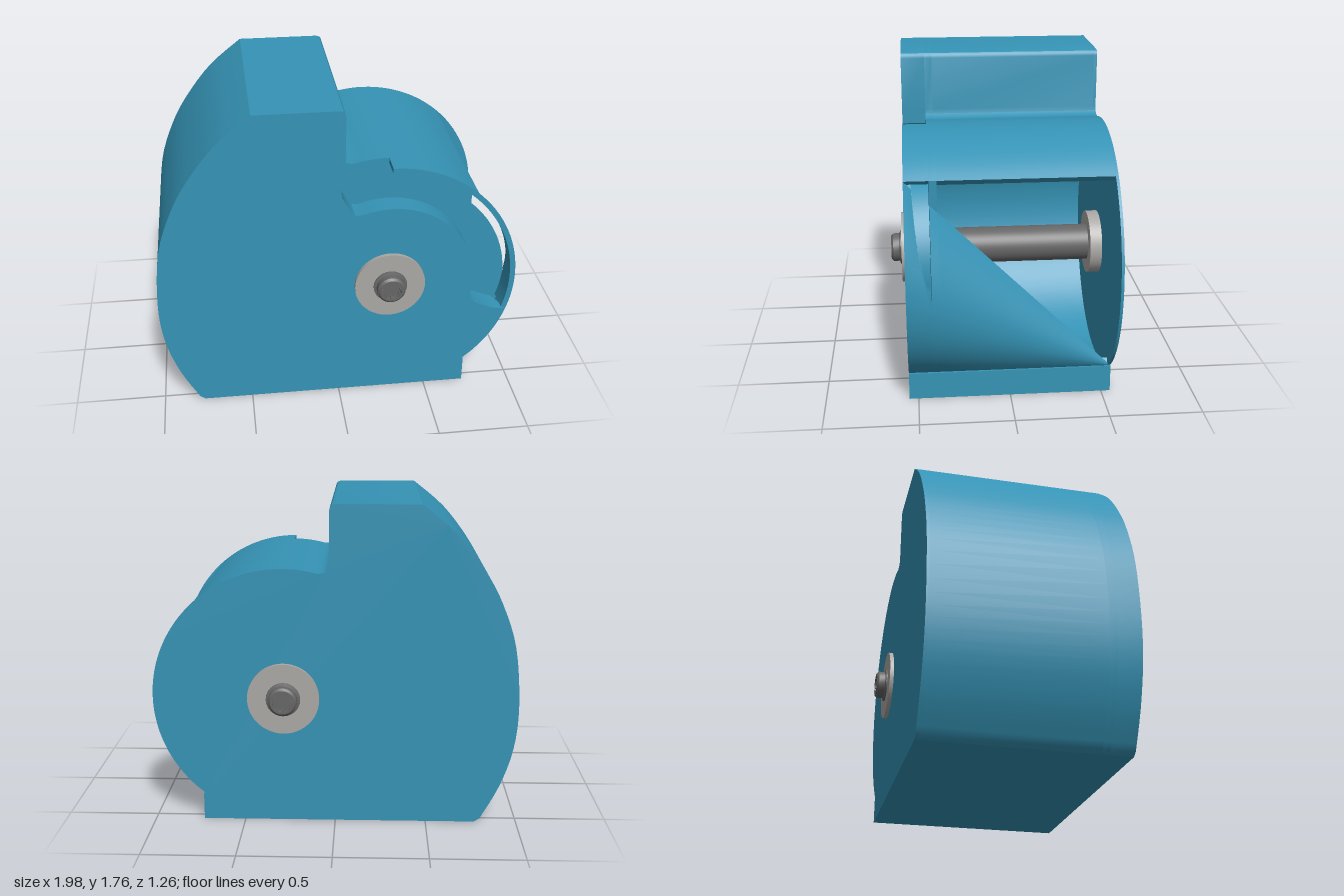
import * as THREE from 'three';
import { toCreasedNormals } from 'three/addons/utils/BufferGeometryUtils.js';

const CX = 0.28, CY = 0.71, R = 0.71;          // drum centre and radius
const Z0 = -0.55, Z1 = 0.55;                   // back and front faces
const FLOOR = 0.42, WALL = 0.38;               // groove floor, cavity front wall
const OPEN = 48.9, LEDGE = -52.06, END = -18;  // opening top, ledge, groove end (degrees)
const APEX = new THREE.Vector3(0.72, 0.15, Z0);

const blue = new THREE.MeshStandardMaterial({ color: 0x3593b5, side: THREE.DoubleSide });
const steel = new THREE.MeshStandardMaterial({ color: 0xaaa8a5 });
const dark = new THREE.MeshStandardMaterial({ color: 0x666666 });

const V = (x, y) => new THREE.Vector2(x, y);

function polar(r, deg) {
  const a = THREE.MathUtils.degToRad(deg);
  return V(CX + r * Math.cos(a), CY + r * Math.sin(a));
}

function arc(r, from, to, n) {
  return Array.from({ length: n + 1 }, (_, i) => polar(r, from + (to - from) * i / n));
}

// Point on the cone that runs from the front rim back to the rear ledge corner
function conePoint(deg, z) {
  const p = polar(R, deg), s = (z - Z0) / (Z1 - Z0);
  return new THREE.Vector3(APEX.x + (p.x - APEX.x) * s, APEX.y + (p.y - APEX.y) * s, z);
}

function slab(points, z0, z1, taper = false) {
  const geo = new THREE.ExtrudeGeometry(new THREE.Shape(points), { depth: z1 - z0, bevelEnabled: false });
  geo.translate(0, 0, z0);
  if (taper) {
    // Pull the open part of the drum edge onto the cone
    const pos = geo.attributes.position;
    for (let i = 0; i < pos.count; i++) {
      const dx = pos.getX(i) - CX, dy = pos.getY(i) - CY;
      const deg = THREE.MathUtils.radToDeg(Math.atan2(dy, dx));
      if (Math.abs(Math.hypot(dx, dy) - R) < 0.002 && deg < OPEN - 0.05 && deg > LEDGE - 0.01) {
        const q = conePoint(deg, pos.getZ(i));
        pos.setXY(i, q.x, q.y);
      }
    }
  }
  return toCreasedNormals(geo, 0.5);
}

// Bottom, curved rear side and flat top, shared by every slab
function commonEdge() {
  const side = new THREE.SplineCurve([
    V(-0.8, 0.02), V(-0.9, 0.21), V(-0.97, 0.43), V(-0.99, 0.68), V(-0.96, 1.0),
    V(-0.88, 1.24), V(-0.78, 1.42), V(-0.63, 1.61), V(-0.45, 1.76)
  ]).getPoints(32);
  return [V(0.73, 0.15), V(0.73, 0), V(-0.77, 0), ...side,
    V(0, 1.76), V(0.017, 1.755), V(0.026, 1.745), V(0.03, 1.73), V(0.03, 1.44)];
}
const notch = () => [V(0.035, 1.415), V(0.055, 1.4), V(0.075, 1.396)];

// Triangle strip through cross-sections, each a closed loop of points
function loft(sections) {
  const n = sections[0].length, pos = [], idx = [];
  sections.forEach(s => s.forEach(p => pos.push(p.x, p.y, p.z)));
  for (let i = 0; i < sections.length - 1; i++) {
    for (let j = 0; j < n; j++) {
      const a = i * n + j, b = i * n + (j + 1) % n;
      idx.push(a, b, b + n, a, b + n, a + n);
    }
  }
  const geo = new THREE.BufferGeometry();
  geo.setAttribute('position', new THREE.Float32BufferAttribute(pos, 3));
  geo.setIndex(idx);
  return toCreasedNormals(geo, 0.5);
}

export function createModel() {
  const group = new THREE.Group();
  const add = (name, geo, mat) => {
    const mesh = new THREE.Mesh(geo, mat);
    mesh.name = name;
    group.add(mesh);
    return mesh;
  };

  // Thin back plate with the full outline
  const drumTop = arc(R, 105, OPEN, 18);
  const drumSide = arc(R, OPEN - 0.1, LEDGE, 40);
  add('backPlate', slab([...commonEdge(), ...notch(), ...drumTop, ...drumSide], Z0, -0.535), blue);

  // Hollow housing, open at the side
  add('housing', slab([...commonEdge(), ...notch(), ...drumTop,
    ...arc(0.67, OPEN, 360 + LEDGE, 64), polar(R, LEDGE)], -0.535, WALL), blue);

  // Wall closing the cavity, which is also the groove floor
  add('grooveFloor', slab([...commonEdge(), ...notch(), ...drumTop, ...drumSide], WALL, FLOOR, true), blue);

  // Front face with the curved groove left out
  add('frontFace', slab([...commonEdge(),
    V(0.03, 1.36), V(0.008, 1.33), V(0.01, 1.27), V(0.06, 1.18), V(0.08, 1.157), V(0.1, 1.15),
    ...arc(0.47, 107, -4, 40),
    V(0.742, 0.6), V(0.75, 0.565), V(0.775, 0.54), V(0.87, 0.5), V(0.9, 0.49),
    ...arc(R, END, LEDGE, 16)], FLOOR, Z1, true), blue);

  // Thin outer rim of the groove: straight part, then the part cut by the cone
  add('grooveRim', slab([...arc(R, 90, OPEN, 14), ...arc(0.68, OPEN, 90, 14)], FLOOR, Z1), blue);
  const rim = [];
  for (let i = 0; i <= 30; i++) {
    const deg = OPEN + (END - OPEN) * i / 30;
    const outer = polar(R, deg), inner = polar(0.68, deg);
    const slope = ((outer.x - APEX.x) * (outer.x - CX) + (outer.y - APEX.y) * (outer.y - CY)) / R / (Z1 - Z0);
    const z = Z1 - Math.min(Z1 - FLOOR, 0.03 / Math.max(slope, 0.01));
    rim.push([new THREE.Vector3(outer.x, outer.y, Z1), new THREE.Vector3(inner.x, inner.y, Z1),
      new THREE.Vector3(inner.x, inner.y, z), conePoint(deg, z)]);
  }
  add('taperedRim', loft(rim), blue);

  // Conical guard wall narrowing to the rear ledge corner
  const fan = [];
  for (let i = 0; i < 40; i++) {
    const a = OPEN + (LEDGE - OPEN) * i / 40, b = OPEN + (LEDGE - OPEN) * (i + 1) / 40;
    for (const p of [APEX, conePoint(a, WALL), conePoint(b, WALL)]) fan.push(p.x, p.y, p.z);
  }
  const cone = new THREE.BufferGeometry();
  cone.setAttribute('position', new THREE.Float32BufferAttribute(fan, 3));
  add('conicalGuard', toCreasedNormals(cone, 0.5), blue);

  // Axle, washers and bolt heads
  const rod = (name, r, z0, z1, mat) => {
    const geo = new THREE.CylinderGeometry(r, r, z1 - z0, 48).rotateX(Math.PI / 2);
    add(name, geo, mat).position.set(CX, CY, (z0 + z1) / 2);
  };
  rod('axle', 0.1, -0.54, 0.4, dark);
  rod('innerWasher', 0.175, -0.54, -0.47, steel);
  rod('frontWasher', 0.195, 0.545, 0.572, steel);
  rod('backWasher', 0.195, -0.572, -0.545, steel);

  const headProfile = [V(0.093, 0), V(0.093, 0.008), V(0.078, 0.012), V(0.078, 0.047),
    V(0.066, 0.058), V(0.055, 0.058), V(0.055, 0.03), V(0, 0.03)];
  const headGeo = toCreasedNormals(new THREE.LatheGeometry(headProfile, 24).rotateX(Math.PI / 2), 0.5);
  for (const side of [1, -1]) {
    const bolt = new THREE.Group();
    bolt.name = side > 0 ? 'frontBolt' : 'backBolt';
    const head = new THREE.Mesh(headGeo, dark);
    head.name = 'boltHead';
    bolt.add(head);
    // Small splines inside the socket
    for (let i = 0; i < 12; i++) {
      const a = i * Math.PI / 6;
      const tooth = new THREE.Mesh(new THREE.BoxGeometry(0.012, 0.01, 0.024), dark);
      tooth.name = 'socketTooth';
      tooth.position.set(0.052 * Math.cos(a), 0.052 * Math.sin(a), 0.042);
      tooth.rotation.z = a;
      bolt.add(tooth);
    }
    bolt.position.set(CX, CY, side * 0.572);
    if (side < 0) bolt.rotation.y = Math.PI;
    group.add(bolt);
  }
  return group;
}
